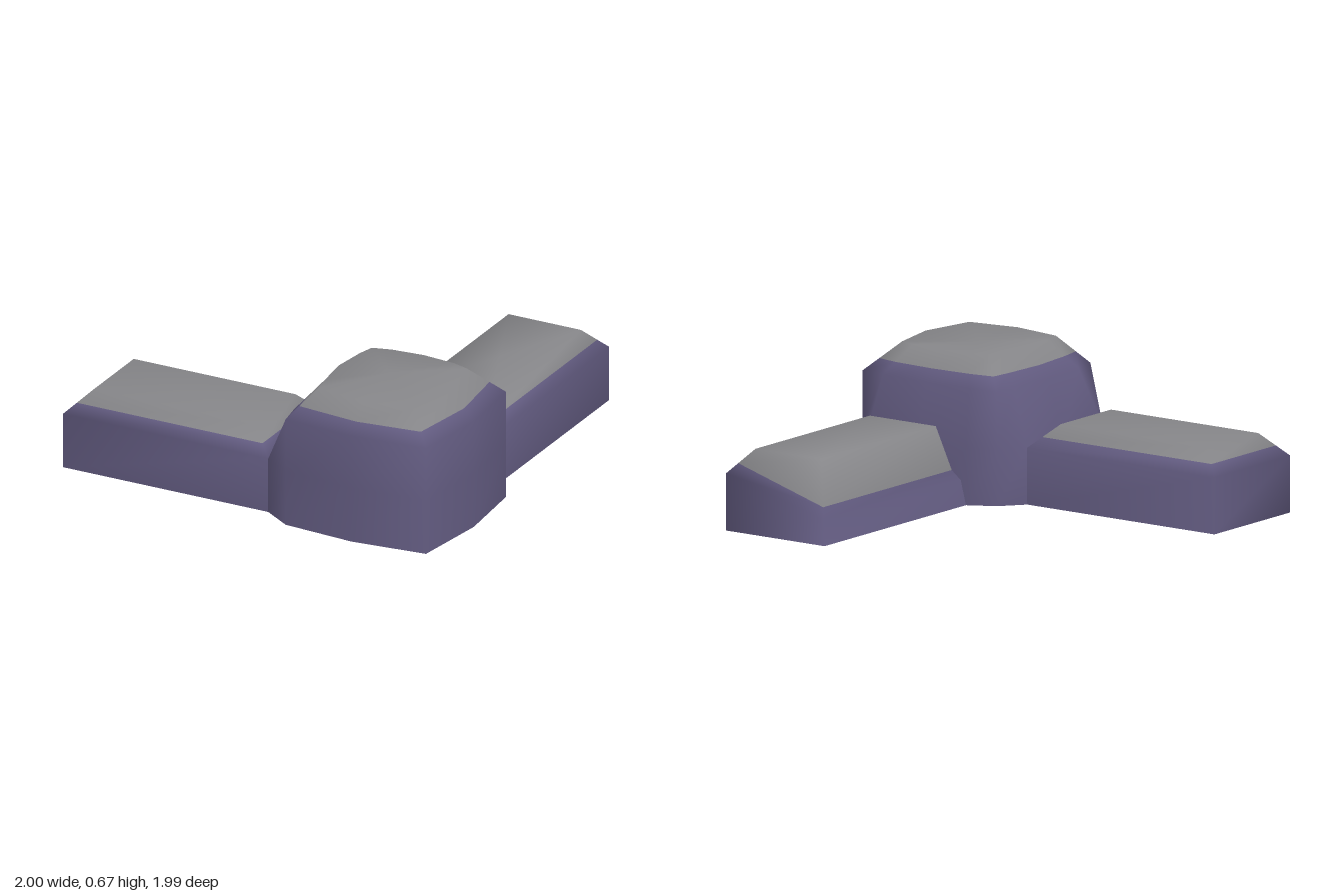
import * as THREE from 'three';

const wallPurple = new THREE.MeshStandardMaterial({ color: 0x625b80 });
wallPurple.name = 'wallPurple';
const capGrey = new THREE.MeshStandardMaterial({ color: 0x858588 });
capGrey.name = 'capGrey';

// Smooth solid from stacked rings (clockwise from above); grey from ring `split` upwards.
// `open` is the side left out of the lowest band, where it is buried in the corner block.
function loft(name, rings, split, open = -1) {
  const n = rings[0].length;
  const pos = rings.flat(2);
  const purple = [], grey = [];
  const centre = (ring) => {
    const c = [0, 1, 2].map((k) => ring.reduce((s, p) => s + p[k], 0) / n);
    pos.push(...c);
    return pos.length / 3 - 1;
  };
  for (let r = 0; r < rings.length - 1; r++) {
    const out = r >= split ? grey : purple;
    for (let i = 0; i < n; i++) {
      if (r === 0 && i === open) continue;
      const a = r * n + i, b = r * n + (i + 1) % n;
      out.push(a, a + n, b, b, a + n, b + n);
    }
  }
  // top cap shares its vertices, the base has its own
  const top = (rings.length - 1) * n, topC = centre(rings[rings.length - 1]);
  const baseC = centre(rings[0]), base = pos.length / 3;
  pos.push(...rings[0].flat());
  for (let i = 0; i < n; i++) {
    const j = (i + 1) % n;
    grey.push(topC, top + j, top + i);
    purple.push(baseC, base + i, base + j);
  }
  const g = new THREE.BufferGeometry();
  g.setAttribute('position', new THREE.Float32BufferAttribute(pos, 3));
  g.setIndex([...purple, ...grey]);
  g.addGroup(0, purple.length, 0);
  g.addGroup(purple.length, grey.length, 1);
  g.computeVertexNormals();
  const mesh = new THREE.Mesh(g, [wallPurple, capGrey]);
  mesh.name = name;
  return mesh;
}

const level = (y, pts) => pts.map(([x, z]) => [x, y, z]);
const blend = (a, b, t) => a.map((p, i) => p.map((v, k) => v + (b[i][k] - v) * t));
const rect = (x0, x1, z0, z1) => [[x0, z0], [x1, z0], [x1, z1], [x0, z1]];

export function createModel() {
  const model = new THREE.Group();
  model.name = 'wallCorner';

  // Side arm: straight walls and a chamfered top
  const sideFoot = rect(-1, 0.08, 0.28, 0.87);
  const sideWall = level(0.27, sideFoot);
  const sideTop = level(0.38, rect(-0.89, -0.04, 0.38, 0.77));
  model.add(loft('sideArm',
    [level(0, sideFoot), sideWall, blend(sideWall, sideTop, 0.45), sideTop], 2, 1));

  // Back arm: the inner face leans in from the ground to the top
  const backFoot = rect(0.3, 0.87, -1, 0.1);
  const backWall = level(0.27, backFoot);
  const backTop = level(0.38, rect(0.4, 0.78, -0.89, 0));
  const backSplit = blend(backWall, backTop, 0.42);
  backWall[0] = [0.33, 0.115, -0.967];
  backWall[3] = [0.33, 0.115, 0.1];
  backSplit[0] = [0.345, 0.17, -0.95];
  backSplit[3] = [0.345, 0.17, 0.05];
  model.add(loft('backArm', [level(0, backFoot), backWall, backSplit, backTop], 2, 2));

  // Corner block: bulging square, drawn in above the arms
  const foot = [[0.17, 0.17], [0.3, 0.1], [0.58, 0.1], [0.87, 0.1], [0.97, 0.2], [1, 0.57],
    [0.95, 0.945], [0.58, 0.985], [0.22, 0.96], [0.08, 0.87], [0.08, 0.57], [0.08, 0.28]];
  const shoulder = level(0.535, [[0.19, 0.19], [0.34, 0.175], [0.58, 0.17], [0.84, 0.18],
    [0.97, 0.2], [1, 0.57], [0.95, 0.945], [0.58, 0.985], [0.22, 0.96], [0.2, 0.84],
    [0.18, 0.57], [0.185, 0.32]]);
  const crown = level(0.67, [[0.33, 0.32], [0.42, 0.295], [0.58, 0.28], [0.75, 0.295],
    [0.83, 0.32], [0.88, 0.57], [0.83, 0.84], [0.58, 0.88], [0.33, 0.84], [0.31, 0.74],
    [0.29, 0.57], [0.31, 0.4]]);
  model.add(loft('cornerBlock',
    [level(0, foot), level(0.27, foot), shoulder, blend(shoulder, crown, 0.42), crown], 3));

  return model;
}
